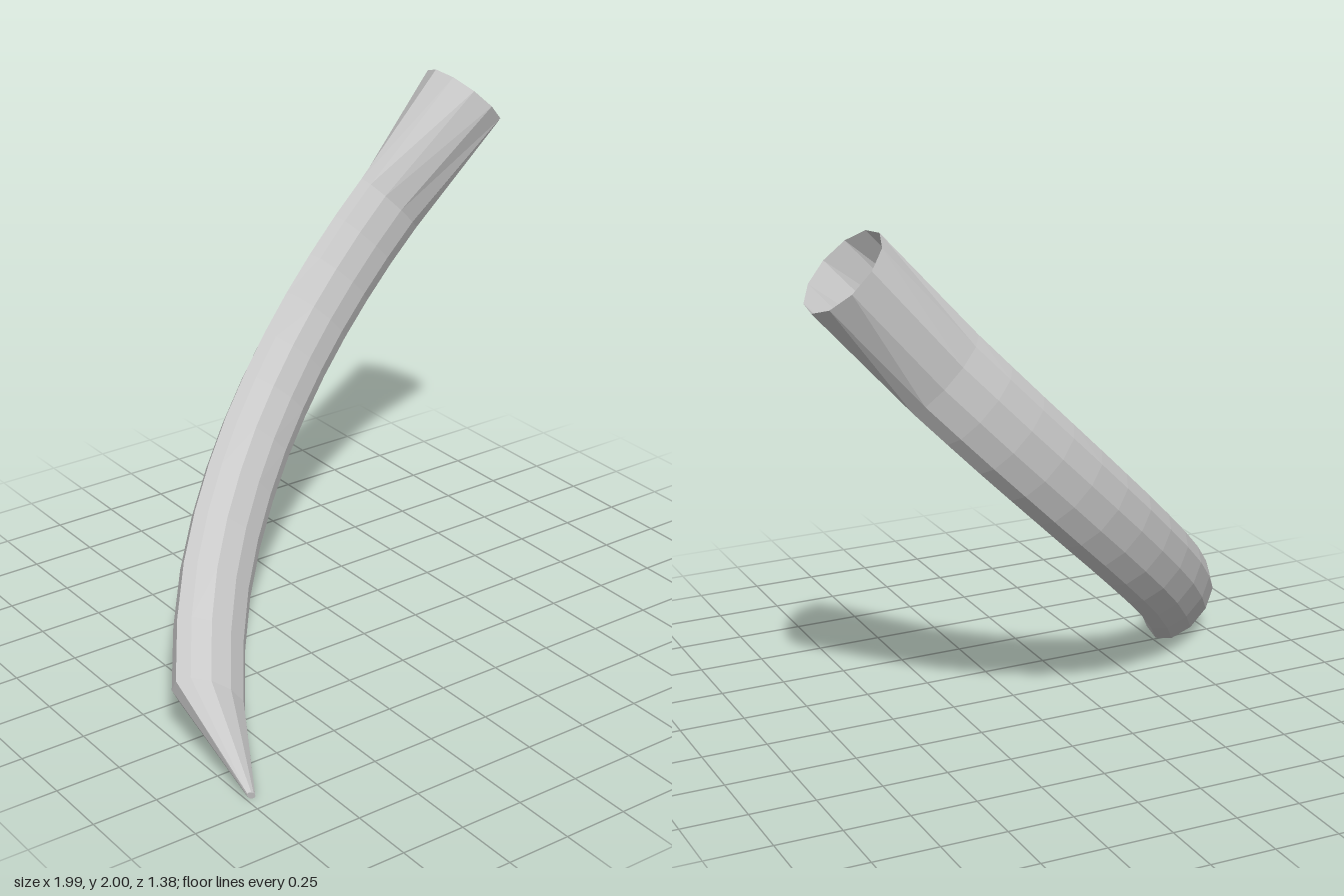
import * as THREE from 'three';

const SIDES = 11;   // sides of the horn
const STEPS = 11;   // rings along the bend

// The horn bends in a plane through z and the diagonal U; W is its sideways axis.
const U = new THREE.Vector3(1, 1, 0).normalize();
const W = new THREE.Vector3(-1, 1, 0).normalize();
const place = (u, w, z) =>
  new THREE.Vector3(0, 0, z).addScaledVector(U, u).addScaledVector(W, w);

// One ring: centre (u, w, z), tilt of its flat axis, half-thickness and half-width
function ring(u, w, z, tilt, thick, wide) {
  const points = [];
  for (let j = 0; j < SIDES; j++) {
    const a = (j / SIDES) * Math.PI * 2;
    const n = Math.cos(a) * thick;
    points.push(place(u + n * Math.sin(tilt), w + Math.sin(a) * wide, z + n * Math.cos(tilt)));
  }
  return points;
}

// Skin the rings from tip to mouth, closing only the tip
function skin(rings, tip) {
  const pos = [];
  const tri = (...corners) => corners.forEach((p) => pos.push(p.x, p.y, p.z));
  for (let j = 0; j < SIDES; j++) {
    const k = (j + 1) % SIDES;
    tri(tip, rings[0][j], rings[0][k]);
    for (let i = 0; i < rings.length - 1; i++) {
      const [a, b, c, d] = [rings[i][j], rings[i][k], rings[i + 1][j], rings[i + 1][k]];
      tri(a, c, b);
      tri(b, c, d);
    }
  }
  const geometry = new THREE.BufferGeometry();
  geometry.setAttribute('position', new THREE.Float32BufferAttribute(pos, 3));
  geometry.computeVertexNormals();
  return geometry;
}

export function createModel() {
  const group = new THREE.Group();
  group.name = 'curvedHorn';

  // Small blunt tip
  const rings = [ring(-0.686, 0.707, 0.69, 1.3, 0.012, 0.02)];

  // Flattened body along a circular arc, with a slight sideways sway
  const sway = new THREE.CatmullRomCurve3(
    [[-0.515, 0.712], [-0.2, 0.723], [0.25, 0.712], [0.6, 0.7], [1.1, 0.69], [1.428, 0.692]]
      .map(([u, w]) => new THREE.Vector3(u, w, 0)));
  const radius = 2.458;
  for (let i = 0; i <= STEPS; i++) {
    const p = sway.getPointAt(i / STEPS);
    const tilt = Math.asin((1.3 - p.x) / radius);
    const z = -0.555 + radius * (1 - Math.cos(tilt));
    const thick = THREE.MathUtils.lerp(0.1, 0.087, i / STEPS);
    rings.push(ring(p.x, p.y, z, tilt, thick, 0.174));
  }

  // Round open mouth
  rings.push(ring(1.941, 0.717, -0.523, 0, 0.173, 0.174));

  const material = new THREE.MeshStandardMaterial({
    color: 0xcccccc, flatShading: true, side: THREE.DoubleSide,
  });
  const horn = new THREE.Mesh(skin(rings, place(-0.686, 0.707, 0.69)), material);
  horn.name = 'horn';
  group.add(horn);
  return group;
}
